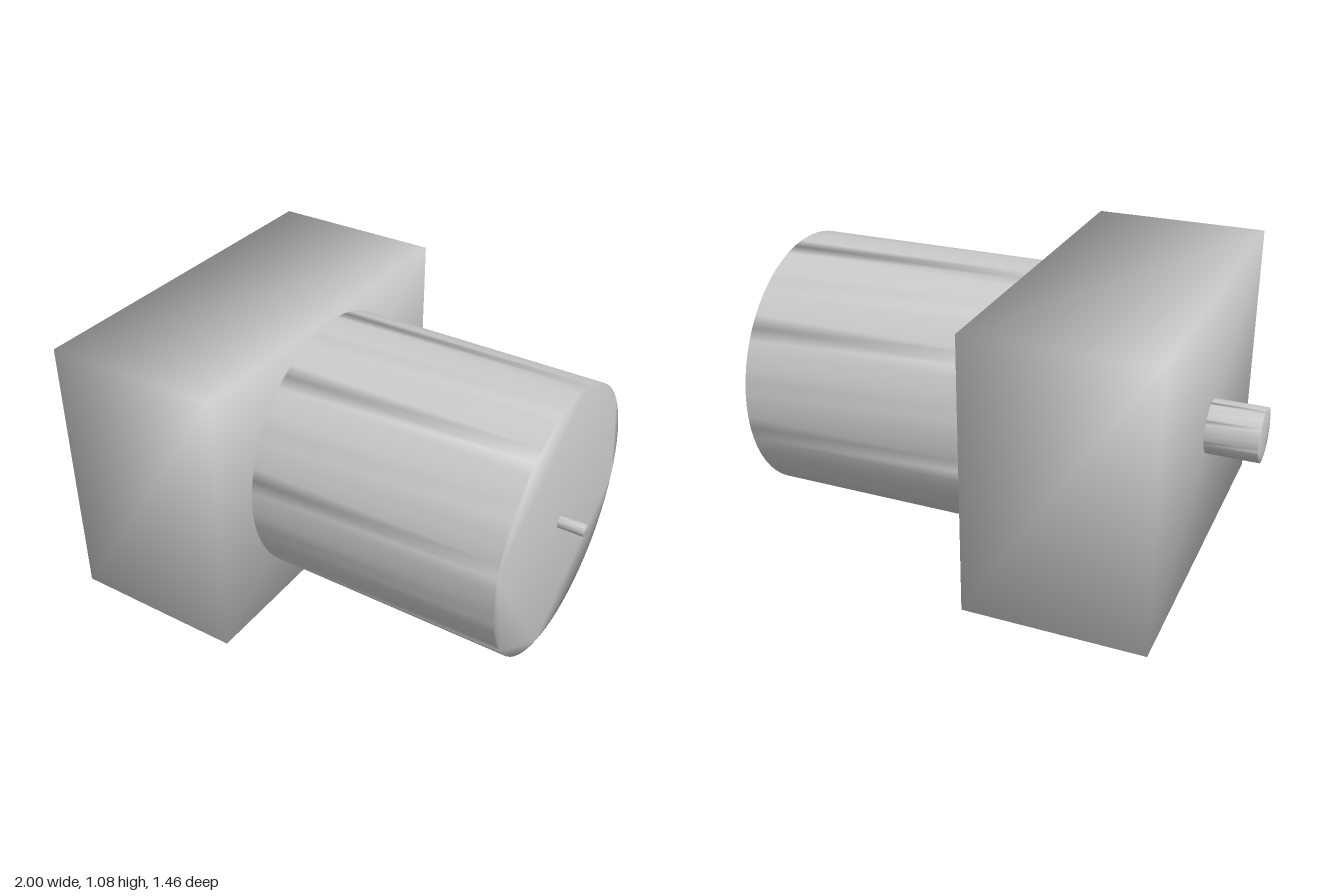
import * as THREE from 'three';
import { mergeVertices } from 'three/addons/utils/BufferGeometryUtils.js';

const AXIS_Y = 0.542;

export function createModel() {
  const model = new THREE.Group();
  const material = new THREE.MeshStandardMaterial({ color: 0xcccccc });

  // Weld shared corners so shading runs smoothly over every edge
  function addPart(name, geometry) {
    geometry.deleteAttribute('normal');
    geometry.deleteAttribute('uv');
    const welded = mergeVertices(geometry, 1e-4);
    welded.computeVertexNormals();
    const mesh = new THREE.Mesh(welded, material);
    mesh.name = name;
    model.add(mesh);
    return mesh;
  }

  // Solid 32-sided rod along x, with plain polygon end caps
  function addRod(name, radius, x0, x1) {
    const circle = new THREE.Shape().absarc(0, 0, radius, 0, Math.PI * 2);
    const geometry = new THREE.ExtrudeGeometry(circle, {
      depth: x1 - x0, bevelEnabled: false, curveSegments: 32,
    });
    geometry.rotateY(Math.PI / 2);
    addPart(name, geometry).position.set(x0, AXIS_Y, 0);
  }

  // Rectangular housing
  const housing = addPart('housing', new THREE.BoxGeometry(0.7, 2 * AXIS_Y, 1.46));
  housing.position.set(-0.45, AXIS_Y, 0);

  // Barrel on the housing, with a thin pin at its end
  addRod('barrel', 0.525, -0.1, 0.9);
  addRod('endPin', 0.024, 0.9, 1);

  // Thick stub on the opposite side
  addRod('rearStub', 0.105, -1, -0.8);

  return model;
}
